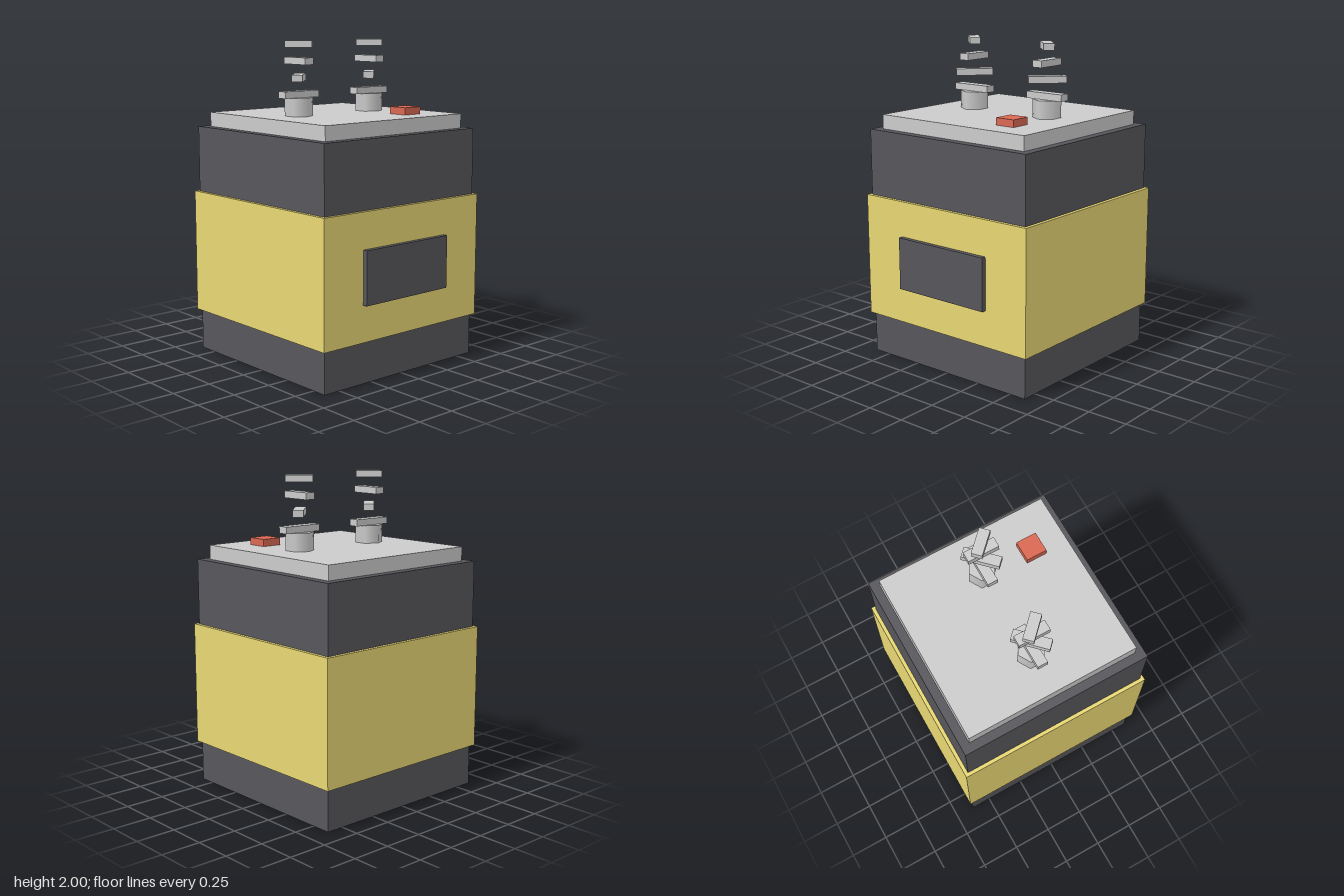
import * as THREE from 'three';

export function createModel() {
  const model = new THREE.Group();
  const grey = new THREE.MeshStandardMaterial({ color: 0xcccccc });
  const dark = new THREE.MeshStandardMaterial({ color: 0x57565b });
  const yellow = new THREE.MeshStandardMaterial({ color: 0xe8d774 });
  const red = new THREE.MeshStandardMaterial({ color: 0xd96853 });
  const midZ = -0.015; // the case sits slightly back because of the front panel

  // Box standing on height y
  function box(name, material, [w, h, d], [x, y, z], parent = model) {
    const mesh = new THREE.Mesh(new THREE.BoxGeometry(w, h, d), material);
    mesh.name = name;
    mesh.position.set(x, y + h / 2, z);
    parent.add(mesh);
    return mesh;
  }

  // Case, wrapped band, lid and details
  box('caseBody', dark, [1.225, 1.455, 1.225], [0, 0, midZ]);
  box('band', yellow, [1.27, 0.78, 1.27], [0, 0.26, midZ]);
  box('frontPanel', dark, [0.67, 0.33, 0.03], [0, 0.487, 0.635]);
  box('lid', grey, [1.114, 0.09, 1.114], [0, 1.455, midZ]);
  box('button', red, [0.132, 0.045, 0.132], [0.289, 1.545, 0.32]);

  // Terminals: six-sided post with a tapering spiral of bars
  for (const side of [-1, 1]) {
    const terminal = new THREE.Group();
    terminal.name = side > 0 ? 'leftTerminal' : 'rightTerminal';
    terminal.position.set(side * 0.29, 1.545, midZ);
    const post = new THREE.Mesh(new THREE.CylinderGeometry(0.088, 0.088, 0.112, 6), grey);
    post.name = 'post';
    post.position.y = 0.056;
    terminal.add(post);
    [0.265, 0.232, 0.199, 0.166].forEach((length, i) => {
      const bar = box('springBar', grey, [length, 0.042, 0.066], [0, 0.111 + i * 0.1008, 0], terminal);
      bar.rotation.y = (i * Math.PI) / 4;
    });
    model.add(terminal);
  }
  return model;
}
